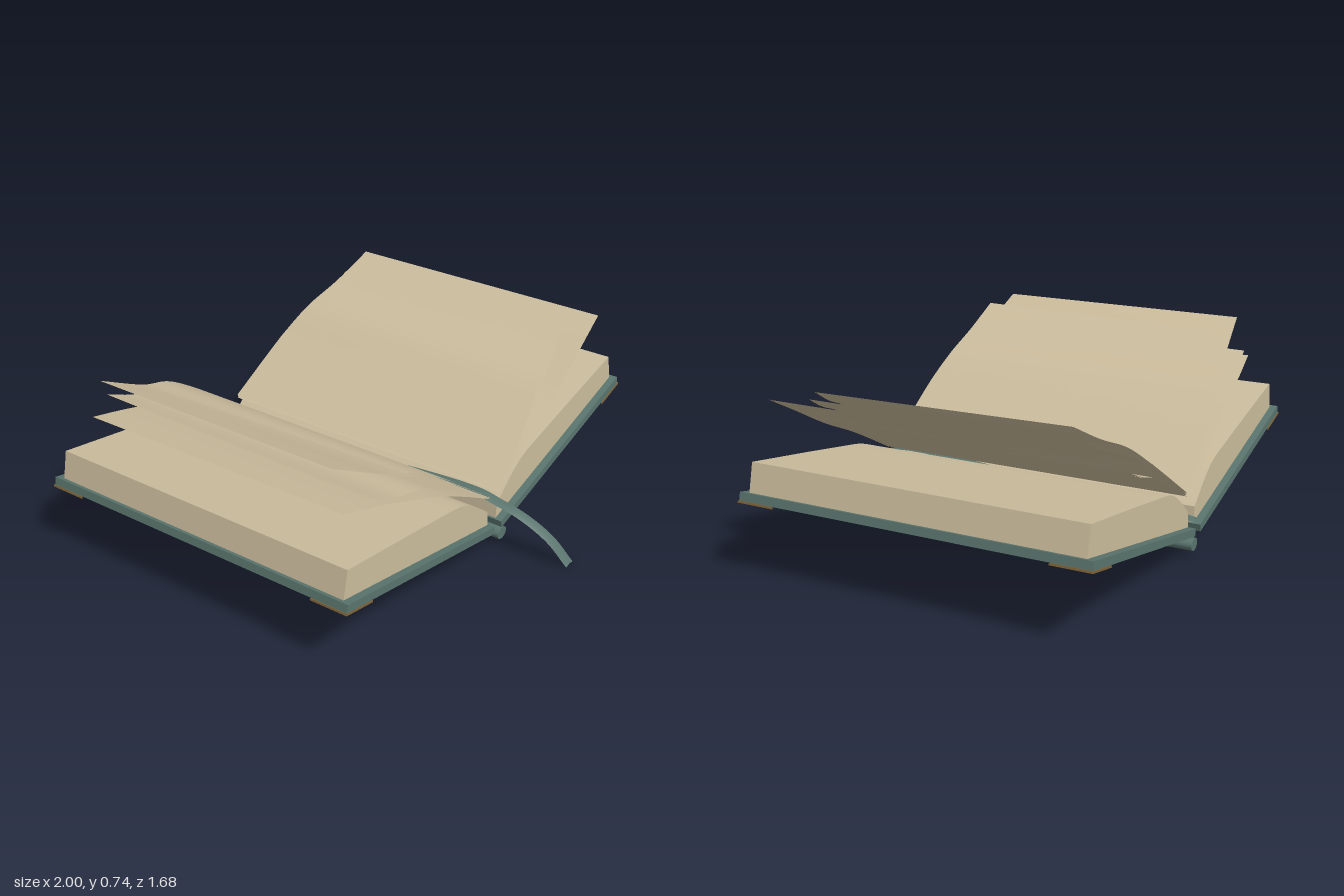
import * as THREE from 'three';
import { toCreasedNormals } from 'three/addons/utils/BufferGeometryUtils.js';

const cloth = new THREE.MeshStandardMaterial({ color: 0x5a746d });
const clothThin = new THREE.MeshStandardMaterial({ color: 0x5a746d, side: THREE.DoubleSide });
const paper = new THREE.MeshStandardMaterial({ color: 0xcbbc9c });
const paperThin = new THREE.MeshStandardMaterial({ color: 0xcbbc9c, side: THREE.DoubleSide });
const leather = new THREE.MeshStandardMaterial({ color: 0x7d6238, side: THREE.DoubleSide });

const BACK = -0.84, FRONT = 0.55;

function add(parent, name, geometry, material) {
  const mesh = new THREE.Mesh(geometry, material);
  mesh.name = name;
  parent.add(mesh);
  return mesh;
}

// Prism with an x-y outline (mirrored by side), running along z
function prism(points, side, z0, z1) {
  const shape = new THREE.Shape(points.map(([x, y]) => new THREE.Vector2(x * side, y)));
  const geo = new THREE.ExtrudeGeometry(shape, { depth: z1 - z0, bevelEnabled: false });
  geo.translate(0, 0, z0);
  return toCreasedNormals(geo, 0.5);
}

// Thin curved leaf: follows a path in x-y, narrowing from the gutter to its outer edge
function leaf(path, zBack, zFront, twist) {
  const curve = new THREE.CatmullRomCurve3(path.map(([x, y]) => new THREE.Vector3(x, y, 0)));
  const geo = new THREE.PlaneGeometry(1, 1, 24, 4);
  const pos = geo.attributes.position;
  for (let i = 0; i < pos.count; i++) {
    const t = pos.getX(i) + 0.5, w = pos.getY(i) + 0.5;
    const p = curve.getPoint(t);
    const back = THREE.MathUtils.lerp(-0.8, zBack, t);
    const front = THREE.MathUtils.lerp(0.53, zFront, t);
    pos.setXYZ(i, p.x, p.y + twist * t * (0.5 - w), THREE.MathUtils.lerp(front, back, w));
  }
  // Keep the front of the sheet facing up on both halves
  if (path[path.length - 1][0] < 0) {
    const idx = geo.index.array;
    for (let i = 0; i < idx.length; i += 3) [idx[i], idx[i + 1]] = [idx[i + 1], idx[i]];
  }
  geo.computeVertexNormals();
  return geo;
}

// Flat cloth strip swept along a path, its width lying along x
function strip(points, width) {
  const curve = new THREE.CatmullRomCurve3(points.map((p) => new THREE.Vector3(...p)));
  const geo = new THREE.PlaneGeometry(1, 1, 2, 40);
  const pos = geo.attributes.position;
  for (let i = 0; i < pos.count; i++) {
    const across = pos.getX(i);
    const p = curve.getPoint(0.5 - pos.getY(i));
    pos.setXYZ(i, p.x + across * width, p.y - Math.abs(across) * 0.012, p.z);
  }
  geo.computeVertexNormals();
  return geo;
}

export function createModel() {
  const book = new THREE.Group();
  book.name = 'openBook';

  // Cover boards, page blocks and corner guards, mirrored left and right
  const board = [[0.03, 0.08], [0.993, 0.303], [0.986, 0.334], [0.023, 0.11]];
  const block = [
    [0.03, 0.112], [0.97, 0.33], [0.945, 0.44], [0.6, 0.378], [0.3, 0.322], [0.245, 0.31],
    [0.2, 0.294], [0.16, 0.271], [0.12, 0.243], [0.035, 0.175],
  ];
  for (const side of [1, -1]) {
    const half = new THREE.Group();
    half.name = side > 0 ? 'leftHalf' : 'rightHalf';
    book.add(half);
    add(half, 'coverBoard', prism(board, side, BACK, FRONT), cloth);
    add(half, 'pageBlock', prism(block, side, -0.81, 0.52), paper);

    // Triangular plates under the outer corners, with the board's slope
    for (const [z, dir] of [[BACK - 0.003, 1], [FRONT + 0.003, -1]]) {
      const tri = new THREE.Shape([
        new THREE.Vector2(0, 0), new THREE.Vector2(-0.155 * side, 0), new THREE.Vector2(0, 0.155 * dir),
      ]);
      const geo = new THREE.ExtrudeGeometry(tri, { depth: 0.008, bevelEnabled: false });
      geo.rotateX(Math.PI / 2);
      geo.rotateZ(side * Math.atan2(0.223, 0.963));
      geo.translate(0.997 * side, 0.304, z);
      add(half, 'cornerGuard', geo, leather);
    }
  }

  // Rounded spine below the gutter
  const spine = add(book, 'spine', new THREE.CylinderGeometry(0.025, 0.025, FRONT - BACK, 24), cloth);
  spine.rotation.x = Math.PI / 2;
  spine.scale.x = 1.25;
  spine.position.set(0.035, 0.05, (FRONT + BACK) / 2);

  // Loose leaves: path, back z, front z, twist
  const leaves = [
    [[[-0.03, 0.25], [-0.3, 0.45], [-0.45, 0.545], [-0.6, 0.605], [-0.85, 0.74]], -0.68, 0.39, 0],
    [[[-0.03, 0.245], [-0.3, 0.44], [-0.45, 0.535], [-0.6, 0.61], [-0.76, 0.70]], -0.6, 0.46, 0.015],
    [[[-0.03, 0.24], [-0.3, 0.405], [-0.47, 0.5], [-0.6, 0.535], [-0.745, 0.6]], -0.77, 0.46, -0.015],
    [[[-0.03, 0.235], [-0.2, 0.33], [-0.35, 0.405], [-0.55, 0.485], [-0.7, 0.54], [-0.88, 0.597]], -0.71, 0.46, 0.012],
    [[[0.03, 0.25], [0.3, 0.435], [0.45, 0.535], [0.6, 0.6], [0.742, 0.675]], -0.65, 0.38, -0.015],
    [[[0.03, 0.245], [0.3, 0.42], [0.5, 0.525], [0.65, 0.585], [0.78, 0.65]], -0.69, 0.38, 0],
    [[[0.03, 0.24], [0.3, 0.39], [0.45, 0.44], [0.6, 0.52], [0.742, 0.605]], -0.73, 0.5, 0.012],
    [[[0.03, 0.235], [0.3, 0.375], [0.5, 0.465], [0.7, 0.57], [0.87, 0.657]], -0.71, 0.49, 0],
  ];
  for (const [path, back, front, twist] of leaves) {
    add(book, 'looseLeaf', leaf(path, back, front, twist), paperThin);
  }

  // Ribbon marker lying in the gutter and hanging over the front edge
  const ribbon = [
    [0, 0.14, BACK], [0, 0.17, -0.6], [0, 0.2, -0.1], [0, 0.235, 0.44],
    [0.002, 0.215, 0.55], [0.01, 0.185, 0.65], [0.035, 0.11, 0.76], [0.062, 0.006, 0.84],
  ];
  add(book, 'ribbonMarker', strip(ribbon, 0.052), clothThin);

  return book;
}
